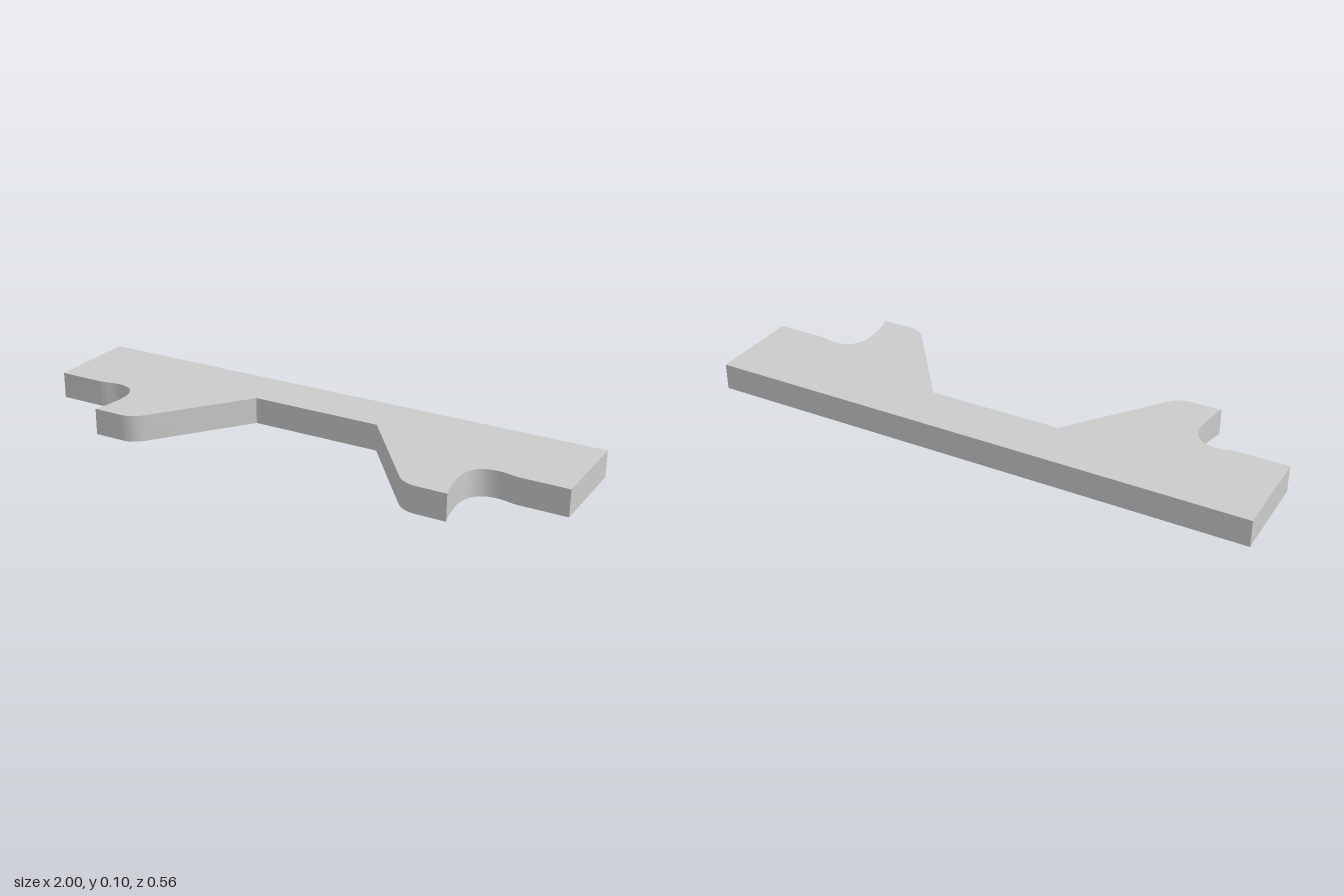
import * as THREE from 'three';
import { toCreasedNormals } from 'three/addons/utils/BufferGeometryUtils.js';

const HEIGHT = 0.097;

// Left half of the plan outline, drawn with y = -z
function halfOutline() {
  const path = new THREE.Path();
  path.moveTo(0.243, 0.09);                                   // central notch
  path.lineTo(0.49, -0.235);                                  // sloping inner side of the foot
  path.bezierCurveTo(0.512, -0.264, 0.535, -0.281, 0.575, -0.281); // rounded toe
  path.lineTo(0.68, -0.281);
  path.bezierCurveTo(0.668, -0.24, 0.66, -0.19, 0.66, -0.15); // hooked recess
  path.bezierCurveTo(0.66, -0.08, 0.695, -0.048, 0.755, -0.048);
  path.bezierCurveTo(0.785, -0.048, 0.8, -0.06, 0.835, -0.06);
  path.lineTo(1, -0.06);                                      // end of the bar
  path.lineTo(1, 0.281);
  return path.getPoints(12);
}

export function createModel() {
  const group = new THREE.Group();
  group.name = 'bracketPlate';

  // Mirror the half outline and extrude it upwards
  const half = halfOutline();
  const mirrored = half.map((p) => new THREE.Vector2(-p.x, p.y)).reverse();
  const shape = new THREE.Shape([...half, ...mirrored]);
  const geometry = new THREE.ExtrudeGeometry(shape, { depth: HEIGHT, bevelEnabled: false });
  geometry.rotateX(-Math.PI / 2);

  const plate = new THREE.Mesh(
    toCreasedNormals(geometry, Math.PI / 6),
    new THREE.MeshStandardMaterial({ color: 0xcccccc })
  );
  plate.name = 'plate';
  group.add(plate);
  return group;
}
